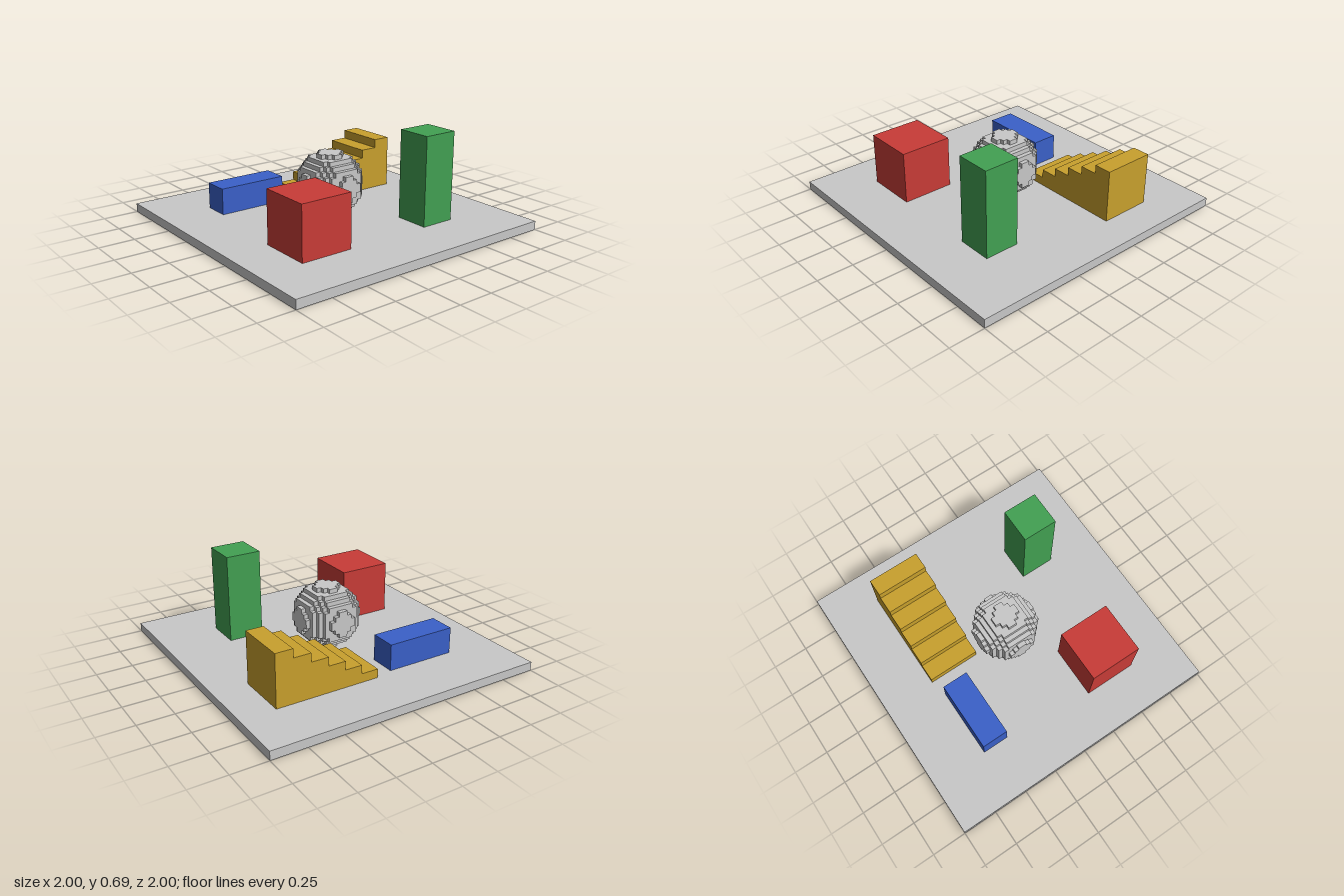
import * as THREE from 'three';
import { mergeGeometries } from 'three/addons/utils/BufferGeometryUtils.js';

const U = 1 / 32; // size of one block unit
const FLOOR = 2; // top of the base, in block units

function material(name, color) {
  const m = new THREE.MeshStandardMaterial({ color });
  m.name = name;
  return m;
}

function part(name, geometry, mat) {
  const mesh = new THREE.Mesh(geometry, mat);
  mesh.name = name;
  return mesh;
}

// Box given by its lower and upper corners in block units
function box(name, [x0, y0, z0], [x1, y1, z1], mat) {
  const mesh = part(name, new THREE.BoxGeometry((x1 - x0) * U, (y1 - y0) * U, (z1 - z0) * U), mat);
  mesh.position.set((x0 + x1) * U / 2, (y0 + y1) * U / 2, (z0 + z1) * U / 2);
  return mesh;
}

// Ball of unit cubes, keeping only the outward square faces
function blockBall(radius) {
  const inside = (x, y, z) => x * x + y * y + z * z <= radius * radius;
  const sides = [[1, 0, 0], [-1, 0, 0], [0, 1, 0], [0, -1, 0], [0, 0, 1], [0, 0, -1]].map((d) => {
    const dir = new THREE.Vector3(...d);
    const turn = new THREE.Quaternion().setFromUnitVectors(new THREE.Vector3(0, 0, 1), dir);
    if (d[2] === -1) turn.setFromAxisAngle(new THREE.Vector3(0, 1, 0), Math.PI);
    const face = new THREE.PlaneGeometry(1, 1).translate(0, 0, 0.5).applyQuaternion(turn);
    return { d, face };
  });
  const faces = [];
  for (let x = 0.5 - radius; x < radius; x++) {
    for (let y = 0.5 - radius; y < radius; y++) {
      for (let z = 0.5 - radius; z < radius; z++) {
        if (!inside(x, y, z)) continue;
        for (const { d, face } of sides) {
          if (!inside(x + d[0], y + d[1], z + d[2])) faces.push(face.clone().translate(x, y, z));
        }
      }
    }
  }
  return mergeGeometries(faces).scale(U, U, U);
}

// Stepped side profile pushed out along z
function stairs(count, run, rise, firstHeight, depth) {
  const shape = new THREE.Shape();
  shape.moveTo(0, 0);
  for (let i = 0; i < count; i++) {
    const y = (firstHeight + i * rise) * U;
    shape.lineTo(i * run * U, y);
    shape.lineTo((i + 1) * run * U, y);
  }
  shape.lineTo(count * run * U, 0);
  return new THREE.ExtrudeGeometry(shape, { depth: depth * U, bevelEnabled: false });
}

export function createModel() {
  const group = new THREE.Group();
  group.name = 'blockScene';

  const grey = material('grey', 0xc8c8c8);
  const red = material('red', 0xc83c37);
  const green = material('green', 0x42a052);
  const blue = material('blue', 0x3a60c8);
  const gold = material('gold', 0xc8a02d);

  // Base slab and the solid blocks standing on it
  group.add(
    box('base', [-32, 0, -32], [32, FLOOR, 32], grey),
    box('redCube', [-22, FLOOR, 8], [-10, 14, 20], red),
    box('greenTower', [10, FLOOR, 12], [18, 22, 20], green),
    box('blueBlock', [-20, FLOOR, -19], [-4, 8, -13], blue),
  );

  // Staircase rising towards +x
  const staircase = part('staircase', stairs(6, 4, 2, 2, 12), gold);
  staircase.position.set(0, FLOOR * U, -20 * U);
  group.add(staircase);

  // Ball resting in the middle
  const ball = part('ball', blockBall(7), grey);
  ball.position.y = (FLOOR + 7) * U;
  group.add(ball);

  return group;
}
